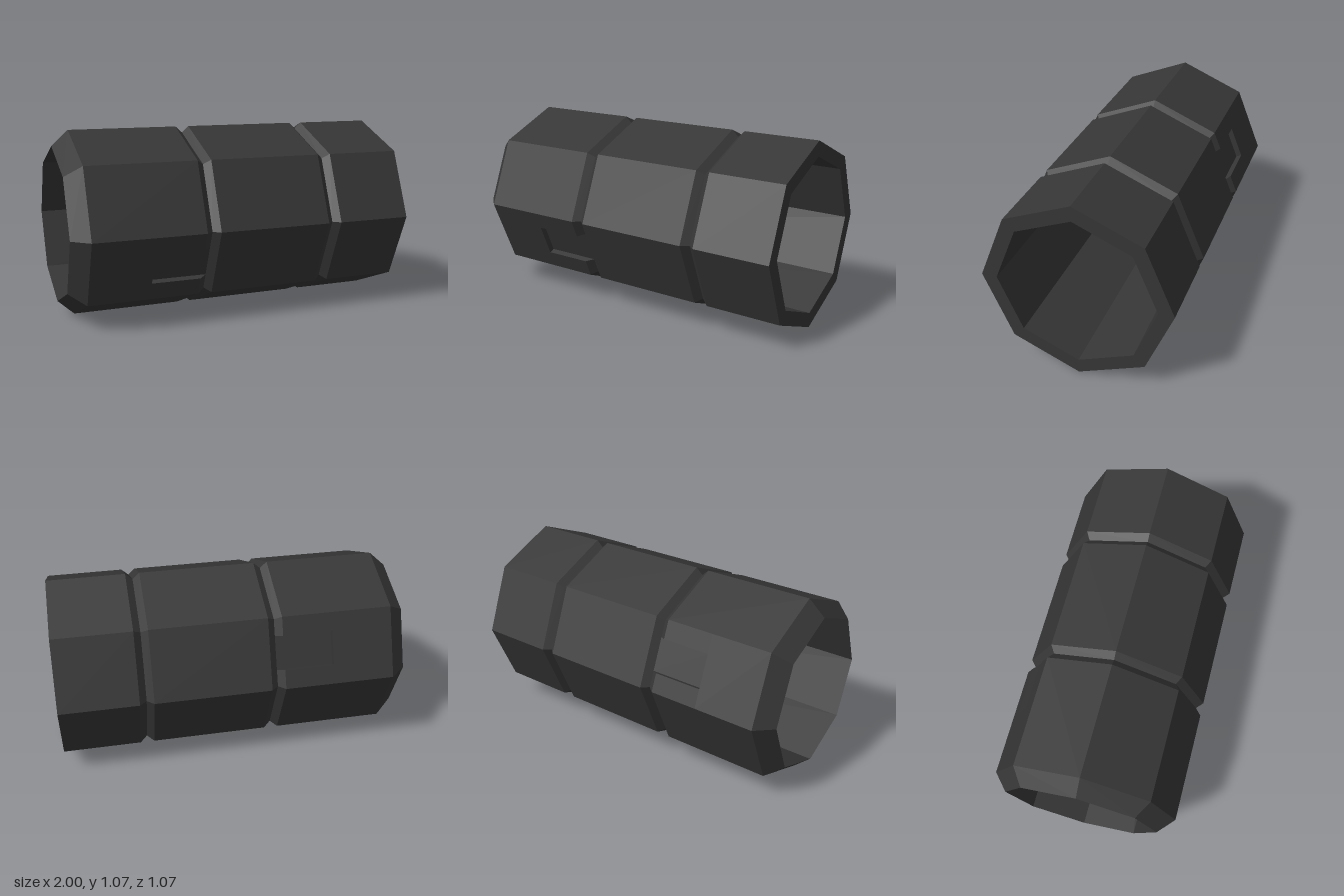
import * as THREE from 'three';

const SIDES = 8, COS = Math.cos(Math.PI / SIDES), TAN = Math.tan(Math.PI / SIDES);
const OUTER = 0.537, GROOVE = 0.501, INNER = 0.45;
const SLOT_FACETS = [3, 7], SLOT_HALF = 0.097, SLOT_START = -0.555;

// Closed wall section as [x, corner radius], along the outside then back through the bore
const profile = [
  [-1, INNER], [-0.905, OUTER], [-0.27, OUTER], [-0.23, GROOVE], [-0.19, OUTER],
  [0.475, OUTER], [0.515, GROOVE], [0.555, OUTER], [1, OUTER], [1, INNER], [-1, INNER],
];

export function createModel() {
  const positions = [];

  // Point on one facet: x along the tube, h out from the axis, u across the facet
  const pointOn = (k) => {
    const a = ((k + 0.5) * 2 * Math.PI) / SIDES;
    const s = Math.sin(a), c = Math.cos(a);
    return (x, h, u) => [x, OUTER + h * s + u * c, h * c - u * s];
  };
  const tri = (a, b, c) => positions.push(...a, ...b, ...c);
  const quad = (a, b, c, d) => { tri(a, b, c); tri(a, c, d); };

  const top = OUTER * COS, floor = GROOVE * COS;
  const S = SLOT_HALF, X0 = SLOT_START, X1 = -0.27, X2 = -0.23;

  for (let k = 0; k < SIDES; k++) {
    const p = pointOn(k);
    const slotted = SLOT_FACETS.includes(k);
    // Strip between two section points, from edge to edge
    const strip = (x0, r0, x1, r1) => {
      const h0 = r0 * COS, h1 = r1 * COS;
      quad(p(x0, h0, -h0 * TAN), p(x1, h1, -h1 * TAN), p(x1, h1, h1 * TAN), p(x0, h0, h0 * TAN));
    };
    // Two strips either side of the slot
    const sideStrips = (x0, h0, x1, h1) => {
      quad(p(x0, h0, -h0 * TAN), p(x1, h1, -h1 * TAN), p(x1, h1, -S), p(x0, h0, -S));
      quad(p(x0, h0, S), p(x1, h1, S), p(x1, h1, h1 * TAN), p(x0, h0, h0 * TAN));
    };
    for (let i = 0; i < profile.length - 1; i++) {
      const [x0, r0] = profile[i], [x1, r1] = profile[i + 1];
      if (slotted && i === 1) {
        strip(x0, r0, X0, r0);
        sideStrips(X0, top, X1, top);
      } else if (slotted && i === 2) {
        sideStrips(X1, top, X2, floor);
      } else {
        strip(x0, r0, x1, r1);
      }
    }
    if (slotted) {
      // Slot floor, end wall and side walls, open into the groove
      quad(p(X0, floor, -S), p(X2, floor, -S), p(X2, floor, S), p(X0, floor, S));
      quad(p(X0, top, -S), p(X0, floor, -S), p(X0, floor, S), p(X0, top, S));
      quad(p(X0, top, -S), p(X1, top, -S), p(X2, floor, -S), p(X0, floor, -S));
      quad(p(X0, floor, S), p(X2, floor, S), p(X1, top, S), p(X0, top, S));
    }
  }

  const geometry = new THREE.BufferGeometry();
  geometry.setAttribute('position', new THREE.Float32BufferAttribute(positions, 3));
  geometry.computeVertexNormals();

  const darkGrey = new THREE.MeshStandardMaterial({ color: 0x363636 });
  darkGrey.name = 'dark grey';
  const tube = new THREE.Mesh(geometry, darkGrey);
  tube.name = 'groovedTube';

  const group = new THREE.Group();
  group.name = 'octagonalSleeve';
  group.add(tube);
  return group;
}
